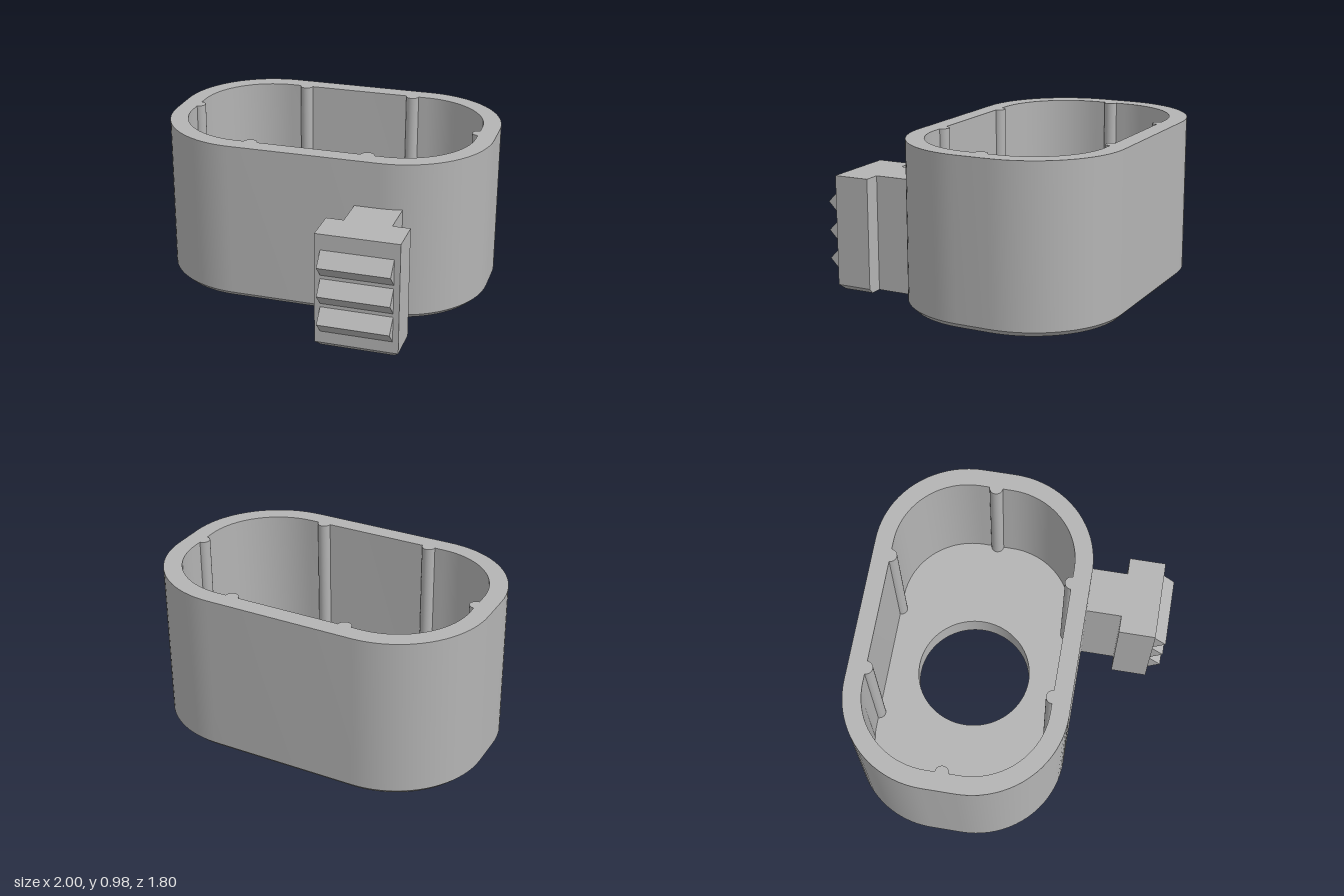
import * as THREE from 'three';
import { toCreasedNormals } from 'three/addons/utils/BufferGeometryUtils.js';

const CZ = -0.253;            // centre of the cup along z
const H = 0.975, FLOOR = 0.15, CHAMFER = 0.03;
const HALF_X = 1, HALF_Z = 0.647, RADIUS = 0.55, WALL = 0.108;

// Rounded rectangle, counter-clockwise, shrunk by `inset`
function outline(inset) {
  const r = RADIUS - inset, cx = HALF_X - RADIUS, cy = HALF_Z - RADIUS, n = 20;
  const pts = [];
  [[1, 1], [-1, 1], [-1, -1], [1, -1]].forEach(([sx, sy], q) => {
    for (let i = 0; i <= n; i++) {
      const a = (q + i / n) * Math.PI / 2;
      pts.push(new THREE.Vector2(sx * cx + r * Math.cos(a), sy * cy + r * Math.sin(a)));
    }
  });
  return pts;
}

// Upright extrusion of a floor-plan shape between two heights
function upright(shape, y0, y1) {
  const g = new THREE.ExtrudeGeometry(shape, { depth: y1 - y0, bevelEnabled: false, curveSegments: 64 });
  g.rotateX(-Math.PI / 2).translate(0, y0, 0);
  return toCreasedNormals(g, 0.5);
}

// Sloping band joining the base outline to the wall
function chamferBand() {
  const low = outline(CHAMFER), high = outline(0), n = low.length;
  const pos = [], index = [];
  for (let i = 0; i < n; i++) {
    pos.push(low[i].x, 0, -low[i].y, high[i].x, CHAMFER, -high[i].y);
    const a = 2 * i, b = 2 * ((i + 1) % n);
    index.push(a, b, b + 1, a, b + 1, a + 1);
  }
  const g = new THREE.BufferGeometry();
  g.setAttribute('position', new THREE.Float32BufferAttribute(pos, 3));
  g.setIndex(index);
  g.computeVertexNormals();
  return g;
}

// Block whose lower front and side edges are chamfered
function padGeometry(w, h, d) {
  const g = new THREE.BoxGeometry(w, h, d, 1, 2, 1).translate(0, h / 2, 0);
  const p = g.attributes.position;
  for (let i = 0; i < p.count; i++) {
    const y = p.getY(i);
    if (y < 0.01) {
      p.setX(i, p.getX(i) - Math.sign(p.getX(i)) * CHAMFER);
      if (p.getZ(i) > 0) p.setZ(i, p.getZ(i) - CHAMFER);
    } else if (y < h - 0.01) p.setY(i, CHAMFER);
  }
  const flat = g.toNonIndexed();
  flat.computeVertexNormals();
  return flat;
}

export function createModel() {
  const model = new THREE.Group();
  const gray = new THREE.MeshStandardMaterial({ color: 0xb4b4b4 });
  gray.name = 'gray plastic';

  const add = (name, geometry, x = 0, y = 0, z = 0) => {
    const mesh = new THREE.Mesh(geometry, gray);
    mesh.name = name;
    mesh.position.set(x, y, z);
    model.add(mesh);
    return mesh;
  };

  // Cup wall
  const wall = new THREE.Shape(outline(0));
  wall.holes.push(new THREE.Path(outline(WALL)));
  add('wall', upright(wall, CHAMFER, H), 0, 0, CZ);

  // Floor with round opening
  const floor = new THREE.Shape(outline(CHAMFER));
  floor.holes.push(new THREE.Path().absarc(0, 0, 0.35, 0, Math.PI * 2, true));
  add('floor', upright(floor, 0, FLOOR), 0, 0, CZ);
  add('bottomChamfer', chamferBand(), 0, 0, CZ);

  // Half-round ribs inside the wall
  const ribHeight = H - FLOOR;
  const rib = new THREE.CylinderGeometry(0.04, 0.04, ribHeight, 16, 1, false, 0, Math.PI);
  const inX = HALF_X - WALL, inZ = HALF_Z - WALL;
  const ribs = [[-inX, 0, 0], [inX, 0, Math.PI]];
  for (const x of [-0.355, 0.355]) ribs.push([x, -inZ, -Math.PI / 2], [x, inZ, Math.PI / 2]);
  for (const [x, z, turn] of ribs) {
    add('rib', rib, x, FLOOR + ribHeight / 2, CZ + z).rotation.y = turn;
  }

  // Arm and grip pad
  add('arm', new THREE.BoxGeometry(0.28, 0.7, 0.28), 0.45, 0.35, 0.47);
  add('pad', padGeometry(0.488, 0.7, 0.22), 0.45, 0, 0.715);

  // Wedge teeth on the pad
  const wedge = new THREE.Shape([
    new THREE.Vector2(0, -0.077), new THREE.Vector2(0.075, 0), new THREE.Vector2(0, 0.077),
  ]);
  const tooth = new THREE.ExtrudeGeometry(wedge, { depth: 0.42, bevelEnabled: false });
  tooth.rotateY(-Math.PI / 2);
  for (let i = 0; i < 3; i++) add('tooth', tooth, 0.66, 0.178 + i * 0.175, 0.825);

  return model;
}
